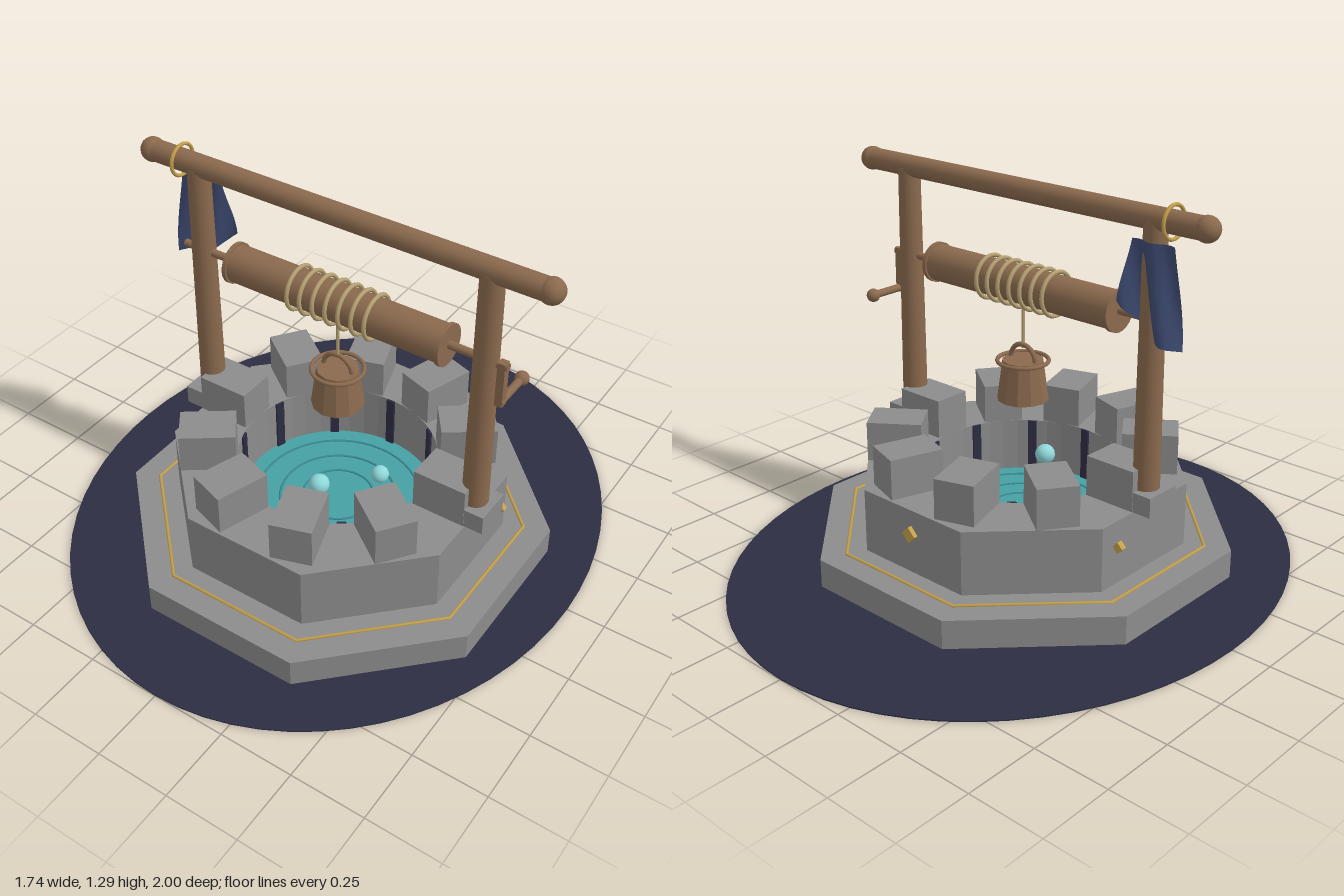
import * as THREE from 'three';

const mat = (name, color, side = THREE.FrontSide) => {
  const m = new THREE.MeshStandardMaterial({ color, side });
  m.name = name;
  return m;
};

// Flat-faced version of a geometry
const facet = (g) => {
  const f = g.index ? g.toNonIndexed() : g;
  f.computeVertexNormals();
  return f;
};

export function createModel() {
  const M = {
    stone: mat('stone grey', 0x8c8c8c),
    wood: mat('wood brown', 0x8b6a4e),
    ground: mat('night ground', 0x2d2d44),
    cloth: mat('cloth blue', 0x3f4c74, THREE.DoubleSide),
    gold: mat('gold', 0xc4a04c),
    rope: mat('rope tan', 0xb5a072),
    water: mat('water teal', 0x45a0a2),
    ripple: mat('ripple teal', 0x3a8a90),
    orb: mat('pale cyan', 0x8fd8da),
  };
  const model = new THREE.Group();
  model.name = 'wishingWell';
  const well = new THREE.Group();
  well.name = 'well';
  well.position.set(0.04, 0, 0.08);
  model.add(well);

  const add = (name, geo, material, x = 0, y = 0, z = 0, parent = well) => {
    const m = new THREE.Mesh(geo, material);
    m.name = name;
    m.position.set(x, y, z);
    parent.add(m);
    return m;
  };
  const rod = (r0, r1, len, seg = 24) => new THREE.CylinderGeometry(r0, r1, len, seg);
  const rodX = (r, len) => rod(r, r, len).rotateZ(Math.PI / 2);
  const ringX = (r, t) => new THREE.TorusGeometry(r, t, 8, 36).rotateY(Math.PI / 2);
  const EIGHTH = Math.PI / 8;

  // Oval ground
  add('ground', rod(1, 1, 0.004, 64).scale(0.87, 1, 1), M.ground, 0, 0.002, 0, model);

  // Octagonal step with gold inlay
  const cos8 = Math.cos(EIGHTH);
  add('step', facet(rod(0.66 / cos8, 0.66 / cos8, 0.098, 8).rotateY(EIGHTH)), M.stone, 0, 0.051, 0);
  add('stepInlay', new THREE.TorusGeometry(0.578 / cos8, 0.006, 6, 8).rotateZ(EIGHTH).rotateX(Math.PI / 2),
    M.gold, 0, 0.1, 0);

  // Octagonal wall with a round shaft
  const outline = new THREE.Shape();
  for (let i = 0; i < 8; i++) {
    const a = EIGHTH * (2 * i + 1), r = 0.515 / cos8;
    outline[i ? 'lineTo' : 'moveTo'](r * Math.cos(a), r * Math.sin(a));
  }
  outline.closePath();
  const hole = new THREE.Path();
  hole.absarc(0, 0, 0.33, 0, Math.PI * 2, true);
  outline.holes.push(hole);
  add('wall', new THREE.ExtrudeGeometry(outline, { depth: 0.215, bevelEnabled: false, curveSegments: 20 })
    .rotateX(-Math.PI / 2), M.stone, 0, 0.1, 0);

  // Crown stones and dark joints in the shaft
  for (let i = 0; i < 10; i++) {
    const a = Math.PI / 10 + (i * Math.PI) / 5;
    add('crownStone', new THREE.BoxGeometry(0.134, 0.135, 0.182), M.stone,
      Math.sin(a) * 0.42, 0.3825, Math.cos(a) * 0.42).rotation.y = a;
    const b = (i * Math.PI) / 5;
    add('shaftJoint', new THREE.BoxGeometry(0.03, 0.214, 0.008), M.ground,
      Math.sin(b) * 0.325, 0.208, Math.cos(b) * 0.325).rotation.y = b;
  }

  // Water, ripples and floating orbs
  add('water', rod(0.329, 0.329, 0.02, 48), M.water, 0, 0.12, 0);
  for (const r of [0.12, 0.195, 0.275])
    add('ripple', new THREE.TorusGeometry(r, 0.004, 6, 48).rotateX(Math.PI / 2), M.ripple, 0, 0.13, 0);
  add('orb', new THREE.SphereGeometry(0.034, 20, 14), M.orb, 0.015, 0.285, 0.13);
  add('orb', new THREE.SphereGeometry(0.03, 20, 14), M.orb, 0.115, 0.22, -0.08);

  // Gold studs on the wall
  const stud = (x, z, s) =>
    add('goldStud', new THREE.BoxGeometry(s, s, 0.02).rotateZ(Math.PI / 4), M.gold, x, 0.235, z);
  stud(-0.53, -0.15, 0.027);
  stud(0.53, -0.15, 0.027);
  stud(0, -0.52, 0.038);

  // Posts, footings and beam
  for (const s of [-1, 1]) {
    add('footing', new THREE.BoxGeometry(0.13, 0.066, 0.13), M.stone, s * 0.512, 0.348, 0);
    add('post', rod(0.037, 0.043, 0.85), M.wood, s * 0.512, 0.8, 0);
    add('beamKnob', new THREE.SphereGeometry(0.04, 20, 14), M.wood, s * 0.69, 1.23, 0);
  }
  add('beam', rodX(0.036, 1.38), M.wood, 0, 1.23, 0);

  // Windlass with rope coils
  add('axle', rodX(0.013, 1.17), M.wood, 0, 0.925, 0);
  add('drum', rodX(0.062, 0.77), M.wood, 0, 0.922, 0);
  for (const s of [-1, 1]) add('drumEnd', rodX(0.068, 0.014), M.wood, s * 0.383, 0.922, 0);
  for (let i = -3; i <= 3; i++) add('ropeCoil', ringX(0.071, 0.007), M.rope, i * 0.0465, 0.922, 0);
  add('rope', rod(0.006, 0.006, 0.16, 10), M.rope, 0, 0.79, 0);

  // Crank
  add('crankArm', new THREE.BoxGeometry(0.025, 0.155, 0.027), M.wood, 0.567, 0.86, 0);
  add('crankHandle', rod(0.013, 0.013, 0.14, 14).rotateX(Math.PI / 2), M.wood, 0.569, 0.795, -0.06);
  add('crankKnob', new THREE.SphereGeometry(0.023, 16, 12), M.wood, 0.569, 0.795, -0.13);

  // Bucket
  add('bucket', facet(rod(0.068, 0.086, 0.135, 12)), M.wood, 0, 0.603, 0);
  add('bucketRim', new THREE.TorusGeometry(0.084, 0.007, 8, 32).rotateX(Math.PI / 2), M.wood, 0, 0.668, 0);
  add('bucketHandle', new THREE.TorusGeometry(0.053, 0.008, 8, 24, Math.PI), M.wood, 0, 0.668, 0);

  // Cloth hanging from a ring on the beam
  add('clothRing', ringX(0.051, 0.006), M.gold, -0.575, 1.23, 0);
  const cloth = new THREE.PlaneGeometry(1, 1, 12, 10);
  const p = cloth.attributes.position;
  for (let i = 0; i < p.count; i++) {
    const u = p.getX(i) + 0.5, v = 0.5 - p.getY(i);
    const hem = u < 0.5 ? 0.86 + 0.04 * u : 0.88 + 0.2 * (u - 0.5);
    p.setXYZ(i,
      -0.612 + u * (0.155 + 0.03 * v) - 0.03 * v * (1 - u),
      1.17 + (hem - 1.17) * v,
      -0.042 + 0.028 * Math.sin(u * 9 + v * 2.5) * (0.35 + 0.65 * v));
  }
  cloth.computeVertexNormals();
  add('cloth', cloth, M.cloth);

  return model;
}
